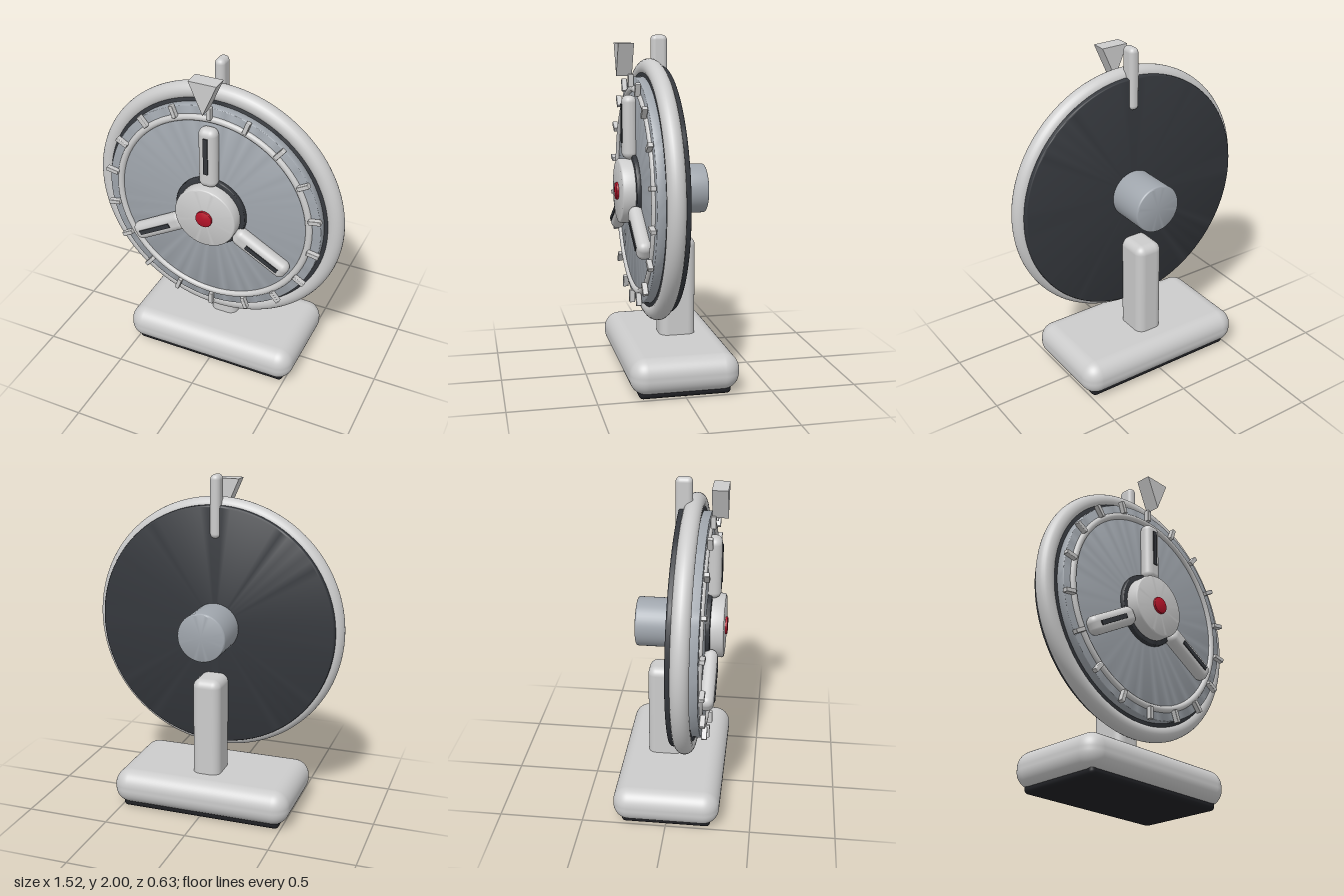
import * as THREE from 'three';
import { toCreasedNormals } from 'three/addons/utils/BufferGeometryUtils.js';
import { RoundedBoxGeometry } from 'three/addons/geometries/RoundedBoxGeometry.js';

const mat = (color) => new THREE.MeshStandardMaterial({ color });
const grey = mat(0xcccccc);
const steel = mat(0xa0a6ad);
const dark = mat(0x34373c);
const rubber = mat(0x202125);
const red = mat(0xb8142a);

function add(parent, name, geometry, material, x = 0, y = 0, z = 0) {
  const mesh = new THREE.Mesh(geometry, material);
  mesh.name = name;
  mesh.position.set(x, y, z);
  parent.add(mesh);
  return mesh;
}

// Round plate along z from z0 to z1 with softened edges
function plate(r, z0, z1, bevel, segments = 96) {
  const pts = [new THREE.Vector2(0, z0)];
  for (let i = 0; i <= 4; i++) {
    const a = (i / 4) * Math.PI / 2;
    pts.push(new THREE.Vector2(r - bevel + bevel * Math.sin(a), z0 + bevel - bevel * Math.cos(a)));
  }
  for (let i = 0; i <= 4; i++) {
    const a = (i / 4) * Math.PI / 2;
    pts.push(new THREE.Vector2(r - bevel + bevel * Math.cos(a), z1 - bevel + bevel * Math.sin(a)));
  }
  pts.push(new THREE.Vector2(0, z1));
  const geo = new THREE.LatheGeometry(pts, segments);
  geo.rotateX(Math.PI / 2);
  return toCreasedNormals(geo, 0.6);
}

export function createModel() {
  const model = new THREE.Group();
  model.name = 'prizeWheel';

  // Stand
  add(model, 'footPad', new RoundedBoxGeometry(0.98, 0.06, 0.53, 3, 0.025), rubber, 0, 0.03, 0);
  add(model, 'base', new RoundedBoxGeometry(1.09, 0.21, 0.63, 8, 0.095), grey, 0, 0.13, 0);
  add(model, 'post', new RoundedBoxGeometry(0.17, 0.67, 0.215, 6, 0.05), grey, 0, 0.49, -0.047);

  // Wheel, built around its own axle
  const wheel = new THREE.Group();
  wheel.name = 'wheel';
  wheel.position.y = 1.105;
  model.add(wheel);

  add(wheel, 'backPlate', plate(0.72, 0.025, 0.148, 0.012), dark);
  add(wheel, 'rim', new THREE.TorusGeometry(0.71, 0.052, 24, 128), grey, 0, 0, 0.104);
  add(wheel, 'face', plate(0.66, 0.14, 0.197, 0.006), steel);
  add(wheel, 'innerRing', new THREE.TorusGeometry(0.59, 0.02, 14, 112), grey, 0, 0, 0.195);
  add(wheel, 'motor', plate(0.145, -0.218, 0.04, 0.012, 48), steel);

  // Pegs around the face
  const pegCount = 18;
  const pegGeo = new RoundedBoxGeometry(0.026, 0.075, 0.032, 2, 0.004);
  pegGeo.translate(0, 0.637, 0.217);
  for (let i = 0; i < pegCount; i++) {
    add(wheel, 'peg', pegGeo, grey).rotation.z = (i / pegCount) * Math.PI * 2;
  }

  // Three spokes with dark slots
  for (let i = 0; i < 3; i++) {
    const spoke = new THREE.Group();
    spoke.name = 'spoke';
    spoke.rotation.z = (i / 3) * Math.PI * 2;
    wheel.add(spoke);
    add(spoke, 'spokeArm', new RoundedBoxGeometry(0.11, 0.37, 0.085, 6, 0.04), grey, 0, 0.37, 0.2275);
    add(spoke, 'spokeSlot', new THREE.BoxGeometry(0.027, 0.225, 0.02), dark, 0, 0.393, 0.266);
  }

  // Hub
  add(wheel, 'hubCollar', plate(0.217, 0.19, 0.222, 0.008, 64), dark);
  add(wheel, 'hub', plate(0.188, 0.2, 0.298, 0.014, 64), grey);
  add(wheel, 'hubButton', plate(0.05, 0.29, 0.311, 0.003, 40), red);

  // Pointer and its holder
  add(model, 'pointerHolder', new RoundedBoxGeometry(0.06, 0.365, 0.095, 6, 0.028), grey, 0, 1.8175, 0.053);
  const triangle = new THREE.Shape([
    new THREE.Vector2(-0.082, 1.955),
    new THREE.Vector2(0, 1.768),
    new THREE.Vector2(0.082, 1.955),
  ]);
  const pointerGeo = new THREE.ExtrudeGeometry(triangle, { depth: 0.09, bevelEnabled: false });
  add(model, 'pointer', pointerGeo, grey, 0, 0, 0.21);

  return model;
}
